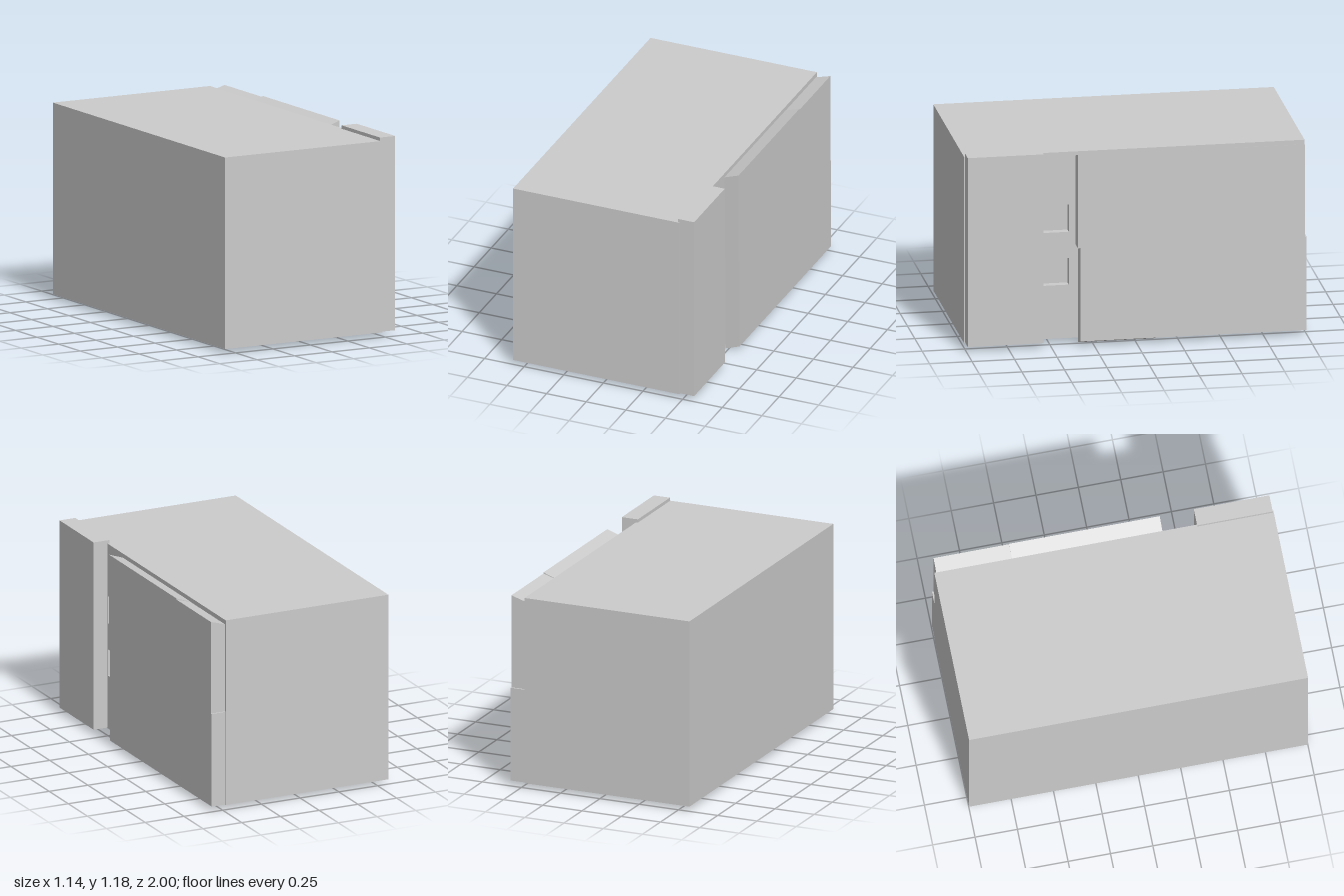
import * as THREE from 'three';

const material = new THREE.MeshStandardMaterial({ color: 0xcccccc, flatShading: true });

// Box given by its limits on each axis
function block(name, [x0, x1], [y0, y1], [z0, z1]) {
  const geometry = new THREE.BoxGeometry(x1 - x0, y1 - y0, z1 - z0);
  geometry.translate((x0 + x1) / 2, (y0 + y1) / 2, (z0 + z1) / 2);
  const mesh = new THREE.Mesh(geometry, material);
  mesh.name = name;
  return mesh;
}

// Cross-section in x and y, extruded from z0 to z1
function prism(name, points, z0, z1) {
  const shape = new THREE.Shape(points.map(([x, y]) => new THREE.Vector2(x, y)));
  const geometry = new THREE.ExtrudeGeometry(shape, { depth: z1 - z0, bevelEnabled: false });
  geometry.translate(0, 0, z0);
  const mesh = new THREE.Mesh(geometry, material);
  mesh.name = name;
  return mesh;
}

function rectangle(path, x0, x1, y0, y1) {
  path.moveTo(x0, y0);
  path.lineTo(x1, y0);
  path.lineTo(x1, y1);
  path.lineTo(x0, y1);
  path.closePath();
  return path;
}

export function createModel() {
  const model = new THREE.Group();
  const left = -0.57, wall = 0.48, outer = 0.57, recessFloor = 0.435;
  const bottom = 0.032, top = 1.16;

  // Main body, behind the depth of the recesses
  model.add(block('body', [left, recessFloor], [bottom, top], [-1, 1]));

  // Side wall with two square recesses; shape x runs along -z
  const wallShape = rectangle(new THREE.Shape(), -1, 1, bottom, top);
  for (const [y0, y1] of [[0.355, 0.515], [0.675, 0.84]]) {
    wallShape.holes.push(rectangle(new THREE.Path(), -0.54, -0.385, y0, y1));
  }
  const wallGeometry = new THREE.ExtrudeGeometry(wallShape, {
    depth: wall - recessFloor, bevelEnabled: false,
  });
  wallGeometry.rotateY(Math.PI / 2);
  wallGeometry.translate(recessFloor, 0, 0);
  const sideWall = new THREE.Mesh(wallGeometry, material);
  sideWall.name = 'recessedSideWall';
  model.add(sideWall);

  // Narrow upright panel near the front
  model.add(block('narrowPanel', [0.468, outer], [0.036, 1.18], [0.548, 0.994]));

  // Wide panel: upper and lower halves, with slanted top and bottom edges
  const wide = new THREE.Group();
  wide.name = 'widePanel';
  const section = (innerLow, outerLow, innerHigh, outerHigh) => [
    [wall, innerLow], [outer, outerLow], [outer, outerHigh], [wall, innerHigh],
  ];
  wide.add(
    prism('upperFrontPanel', section(0.6, 0.6, 1.135, 1.167), -0.54, 0.347),
    prism('upperRearPanel', section(0.6, 0.6, 1.133, 1.16), -0.987, -0.54),
    prism('lowerFrontPanel', section(0.003, 0.035, 0.6, 0.6), -0.11, 0.332),
    prism('lowerRearPanel', section(0.035, 0.035, 0.6, 0.6), -0.997, -0.11),
  );
  model.add(wide);

  return model;
}
